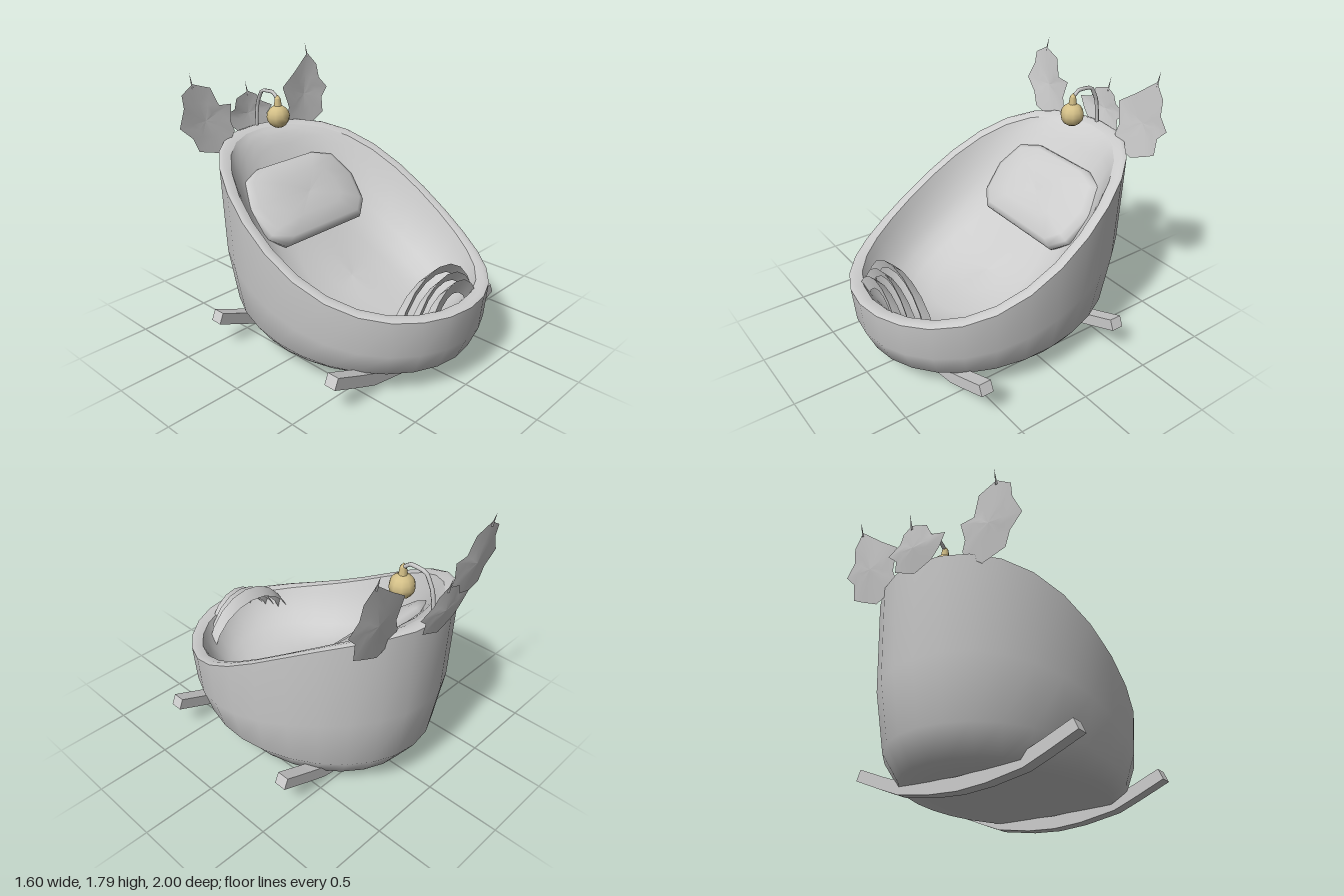
import * as THREE from 'three';

const grey = new THREE.MeshStandardMaterial({ color: 0xcccccc, side: THREE.DoubleSide });
grey.name = 'soft grey';
const gold = new THREE.MeshStandardMaterial({ color: 0xd4c088 });
gold.name = 'pale gold';

function part(name, geometry, material, parent) {
  const m = new THREE.Mesh(geometry, material);
  m.name = name;
  parent.add(m);
  return m;
}

// Surface through rows of [x, y, z] points; closed rows wrap round.
function skin(rows, closed) {
  const n = rows[0].length, index = [];
  for (let i = 0; i < rows.length - 1; i++) {
    for (let j = 0; j < (closed ? n : n - 1); j++) {
      const a = i * n + j, b = i * n + (j + 1) % n;
      index.push(a, a + n, b, b, a + n, b + n);
    }
  }
  const g = new THREE.BufferGeometry();
  g.setAttribute('position', new THREE.Float32BufferAttribute(rows.flat(2), 3));
  g.setIndex(index);
  g.computeVertexNormals();
  return g;
}

// Oval ring at scale s; the height comes from its z position and the rim z.
const SEG = 28;
function oval(s, height) {
  return Array.from({ length: SEG }, (_, j) => {
    const a = j / SEG * Math.PI * 2;
    const z = 0.035 + 0.965 * s * Math.sin(a);
    return [0.76 * s * Math.cos(a), height(z, 0.035 + 0.965 * Math.sin(a)), z];
  });
}

// Rim sweeps from the low foot to the high head
function rim(z) {
  const t = Math.pow(Math.min(1, Math.max(0, (1 - z) / 1.93)), 1.18);
  return 0.545 + 0.73 * t * t * (3 - 2 * t);
}

// Inner bed: flat at the foot, curving up behind the pillow
function bed(z) {
  const t = Math.max(0, (0.5 - z) / 1.2);
  return Math.min(0.3 + 0.8 * t * t, rim(z) - 0.08);
}

function addShell(root) {
  const shell = new THREE.Group();
  shell.name = 'cradleShell';
  root.add(shell);
  const outer = [[0.001, 0], [0.6, 0], [0.793, 0.01], [0.909, 0.15], [0.977, 0.48], [1, 1]];
  part('outerShell', skin(outer.map(([s, f]) =>
    oval(s, (z, rz) => 0.09 + f * (rim(rz) - 0.09))), true), grey, shell);
  const top = z => rim(z) + 0.012;
  part('rimLip', skin([oval(1, rim), oval(0.965, top), oval(0.91, rim)], true), grey, shell);
  // The bed blends upwards into the side walls like a bowl
  const inner = [0.91, 0.88, 0.84, 0.78, 0.7, 0.58, 0.42, 0.2, 0.001].map(s => {
    const lift = Math.pow(s / 0.91, 6);
    return oval(s, z => bed(z) + lift * (rim(z) - bed(z)));
  });
  part('innerBed', skin(inner, true), grey, shell);
}

// Puffed, clipped-corner pillow lying on the sloping head end
function addPillow(root) {
  const right = [[0.25, -1], [0.42, -0.78], [0.49, -0.1], [0.45, 0.65], [0.35, 0.98]];
  const outline = [...right, ...right.map(([x, v]) => [-x, v]).reverse()];
  const profile = [[0.001, -0.09], [0.8, -0.08], [0.96, -0.04], [1, 0], [0.97, 0.035], [0.87, 0.065], [0.5, 0.095], [0.001, 0.08]];
  const rows = profile.map(([s, y]) => outline.map(([x, v]) => [s * x, y, s * v * 0.29]));
  const pillow = part('pillow', skin(rows, true), grey, root);
  pillow.position.set(0, 0.865, -0.42);
  pillow.rotation.x = Math.PI / 4;
}

// Three stepped arches at the foot end
function addFootHood(root) {
  const hood = new THREE.Group();
  hood.name = 'footHood';
  root.add(hood);
  const base = 0.3;
  const arch = (z, peak, half) => Array.from({ length: 11 }, (_, j) => {
    const a = j / 10 * Math.PI;
    return [half * Math.cos(a), base + (peak - base) * Math.sin(a), z];
  });
  const layers = [[0.885, 0.68, 0.27, 0.06, 0.09], [0.82, 0.705, 0.32, 0.055, 0.06], [0.755, 0.73, 0.385, 0.065, 0.06]];
  for (const [z, peak, half, depth, band] of layers) {
    part('archFace', skin([arch(z - 0.02, peak - band, half - band), arch(z, peak, half)], false), grey, hood);
    part('archRoof', skin([arch(z, peak, half), arch(z - depth, peak - 0.065, half)], false), grey, hood);
  }
}

// Curved rocker beams
function addRockers(root) {
  const low = [[-0.8, 0.2], [-0.6, 0.115], [-0.45, 0.055], [-0.2, 0.013], [0, 0]];
  const high = [[-0.77, 0.27], [-0.57, 0.187], [-0.42, 0.13], [-0.19, 0.093], [0, 0.085]];
  const span = half => [...half, ...half.slice(0, -1).reverse().map(([x, y]) => [-x, y])];
  const outline = [...span(low), ...span(high).reverse()];
  const shape = new THREE.Shape(outline.map(([x, y]) => new THREE.Vector2(x, y)));
  for (const [name, z] of [['frontRocker', 0.605], ['backRocker', -0.443]]) {
    const g = new THREE.ExtrudeGeometry(shape, { depth: 0.084, bevelEnabled: false });
    part(name, g, grey, root).position.z = z - 0.042;
  }
}

// Spiky leaf: a fan round its middle, bending backwards towards a thin curled tip
function addLeaf(root, name, outline, [cx, cy], z0, back, height) {
  const bend = y => z0 - back * Math.pow(Math.max(0, (y - 1.18) / height), 1.5);
  const ring = (s, dz) => outline.map(([x, y]) => {
    const px = cx + s * (x - cx), py = cy + s * (y - cy);
    return [px, py, bend(py) + dz];
  });
  const group = new THREE.Group();
  group.name = name;
  root.add(group);
  part('leafBlade', skin([ring(1, 0.008), ring(0.5, -0.004), ring(0.001, -0.012)], true), grey, group);
  const [tx, ty] = outline[0];
  const tip = part('leafTip', new THREE.ConeGeometry(0.008, 0.1, 4), grey, group);
  tip.position.set(tx, ty + 0.02, bend(ty + 0.02));
  tip.rotation.x = -0.25;
}

function addLeaves(root) {
  addLeaf(root, 'leftLeaf', [[0.507, 1.72], [0.583, 1.63], [0.592, 1.53], [0.663, 1.45], [0.6, 1.384], [0.597, 1.27],
    [0.52, 1.232], [0.4, 1.18], [0.3, 1.22], [0.24, 1.29], [0.265, 1.37], [0.227, 1.517], [0.35, 1.6]],
  [0.44, 1.43], -0.835, 0.075, 0.6);
  addLeaf(root, 'rightLeaf', [[-0.54, 1.675], [-0.408, 1.63], [-0.36, 1.507], [-0.26, 1.498], [-0.284, 1.384], [-0.26, 1.313],
    [-0.294, 1.27], [-0.4, 1.19], [-0.564, 1.237], [-0.6, 1.332], [-0.69, 1.417], [-0.635, 1.535], [-0.635, 1.62]],
  [-0.47, 1.42], -0.815, 0.075, 0.57);
  addLeaf(root, 'middleLeaf', [[0, 1.515], [0.07, 1.48], [0.1, 1.43], [0.2, 1.38], [0.14, 1.33], [0.15, 1.26], [0, 1.2],
    [-0.13, 1.25], [-0.19, 1.31], [-0.24, 1.385], [-0.14, 1.41], [-0.11, 1.48]],
  [-0.01, 1.36], -0.94, 0.05, 0.37);
}

// Hanging bauble on a bent arm
function addBauble(root) {
  const points = [[1.25, -0.897], [1.36, -0.887], [1.45, -0.872], [1.545, -0.82], [1.553, -0.71], [1.515, -0.664]]
    .map(([y, z]) => new THREE.Vector3(0, y, z));
  const path = new THREE.CatmullRomCurve3(points, false, 'catmullrom', 0.2);
  part('baubleArm', new THREE.TubeGeometry(path, 16, 0.013, 6), grey, root);
  part('bauble', new THREE.SphereGeometry(0.08, 10, 8), gold, root).position.set(0, 1.392, -0.66);
  part('baubleCap', new THREE.CylinderGeometry(0.02, 0.028, 0.06, 8), gold, root).position.set(0, 1.488, -0.66);
  part('baubleKnob', new THREE.ConeGeometry(0.02, 0.025, 8), gold, root).position.set(0, 1.53, -0.66);
}

export function createModel() {
  const root = new THREE.Group();
  root.name = 'cradle';
  addShell(root);
  addPillow(root);
  addFootHood(root);
  addRockers(root);
  addLeaves(root);
  addBauble(root);
  return root;
}
